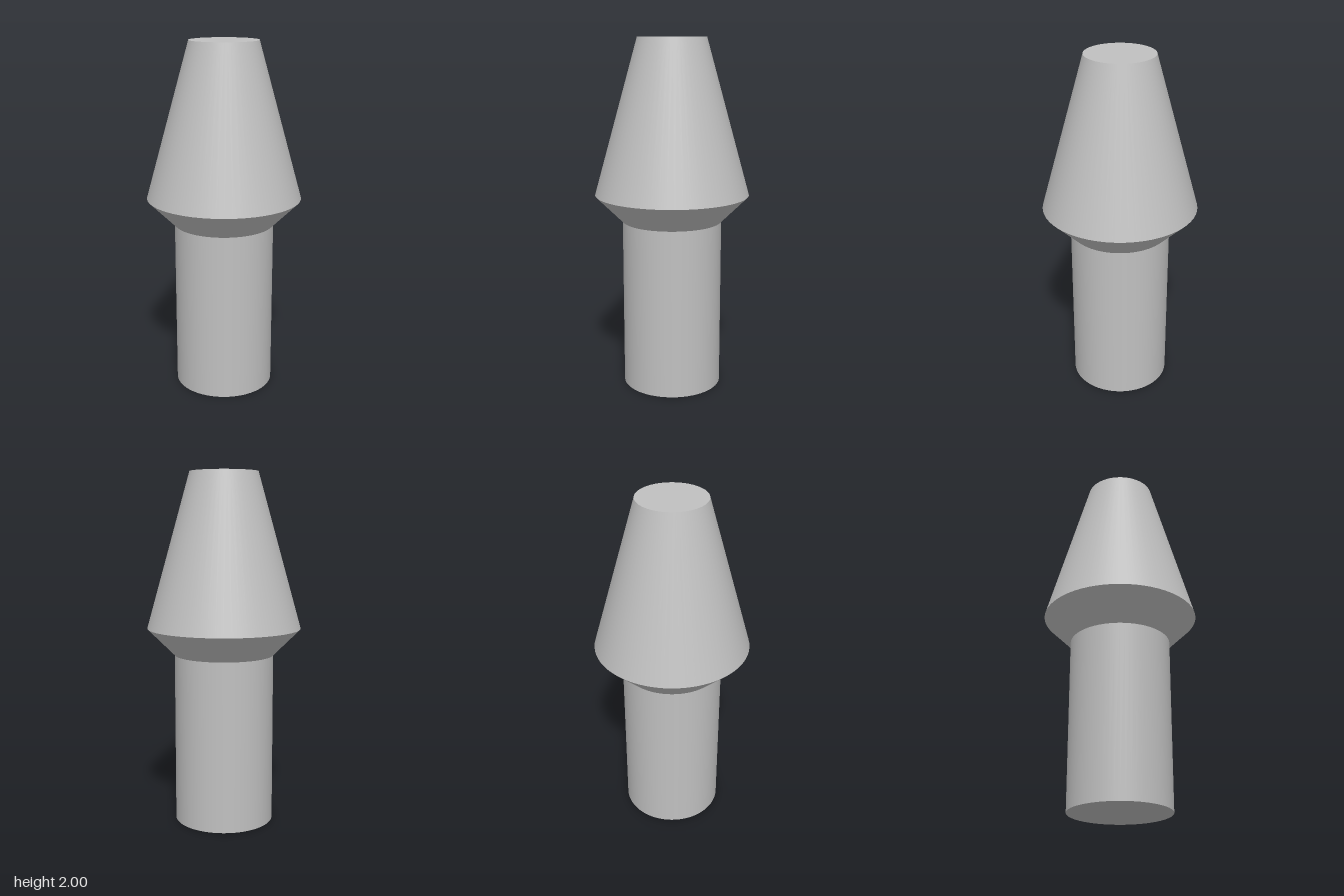
import * as THREE from 'three';

const SEGMENTS = 64;

export function createModel() {
  const model = new THREE.Group();
  model.name = 'taperedPin';

  const grey = new THREE.MeshStandardMaterial({ color: 0xc0c0c0 });
  grey.name = 'plain grey';

  // Round section between two heights, without end caps
  const section = (name, bottomRadius, topRadius, y0, y1) => {
    const geometry = new THREE.CylinderGeometry(topRadius, bottomRadius, y1 - y0, SEGMENTS, 1, true);
    const mesh = new THREE.Mesh(geometry, grey);
    mesh.name = name;
    mesh.position.y = (y0 + y1) / 2;
    model.add(mesh);
  };

  // Flat disc closing an end, facing up (1) or down (-1)
  const cap = (name, radius, y, facing) => {
    const mesh = new THREE.Mesh(new THREE.CircleGeometry(radius, SEGMENTS), grey);
    mesh.name = name;
    mesh.rotation.x = -facing * Math.PI / 2;
    mesh.position.y = y;
    model.add(mesh);
  };

  const shaftRadius = 0.283, rimRadius = 0.438, tipRadius = 0.193;
  const shoulderY = 0.97, rimY = 1.124, tipY = 2;

  // Straight shaft, flared shoulder and tapered head
  section('shaft', shaftRadius, shaftRadius, 0, shoulderY);
  section('shoulder', shaftRadius, rimRadius, shoulderY, rimY);
  section('head', rimRadius, tipRadius, rimY, tipY);

  // Flat ends
  cap('base', shaftRadius, 0, -1);
  cap('tip', tipRadius, tipY, 1);

  return model;
}
